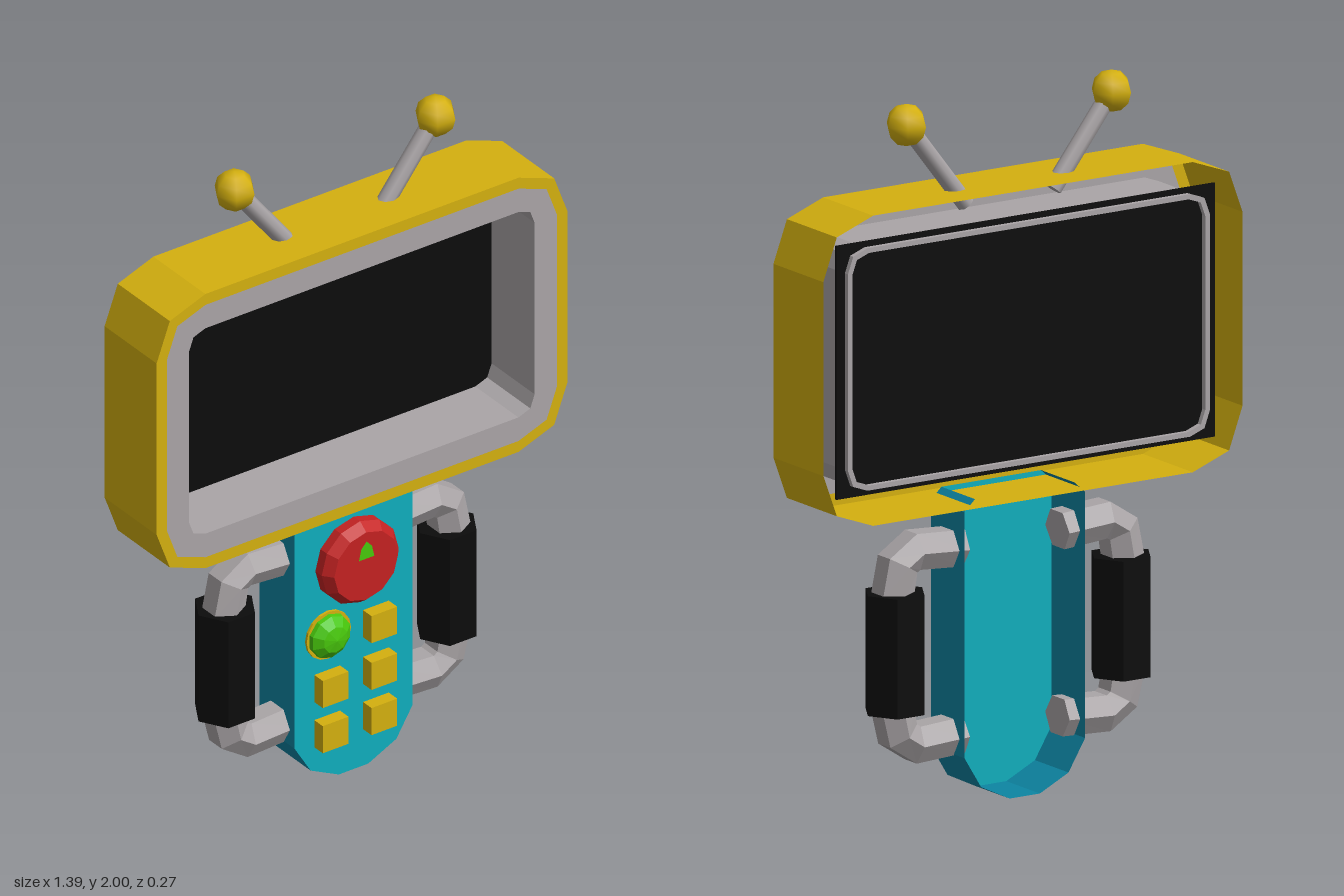
import * as THREE from 'three';

const D = THREE.DoubleSide;
const mat = (name, color, side = THREE.FrontSide) => {
  const m = new THREE.MeshStandardMaterial({ color, side });
  m.name = name;
  return m;
};

// Faceted copy of a geometry
function facet(g) {
  const f = g.index ? g.toNonIndexed() : g;
  f.computeVertexNormals();
  return f;
}

// Counter-clockwise rectangle with two-step rounded corners (w, h are half sizes)
function outline(cy, w, h, c) {
  const m = c * 0.27;
  const corner = [[w, h - c], [w - m, h - m], [w - c, h]];
  const flipped = corner.slice().reverse();
  return [
    ...corner,
    ...flipped.map(([x, y]) => [-x, y]),
    ...corner.map(([x, y]) => [-x, -y]),
    ...flipped.map(([x, y]) => [x, -y]),
  ].map(([x, y]) => new THREE.Vector2(x, y + cy));
}

// Open wall standing along an outline between two depths
function wall(points, z0, z1, closed) {
  const v = [];
  const n = points.length;
  for (let i = 0; i < (closed ? n : n - 1); i++) {
    const a = points[i], b = points[(i + 1) % n];
    v.push(a.x, a.y, z0, b.x, b.y, z0, b.x, b.y, z1);
    v.push(a.x, a.y, z0, b.x, b.y, z1, a.x, a.y, z1);
  }
  const g = new THREE.BufferGeometry();
  g.setAttribute('position', new THREE.Float32BufferAttribute(v, 3));
  g.computeVertexNormals();
  return g;
}

// Flat face at depth z, with an optional hole
function face(points, z, hole) {
  const s = new THREE.Shape(points);
  if (hole) s.holes.push(new THREE.Path(hole));
  return new THREE.ShapeGeometry(s).translate(0, 0, z);
}

// Mitred hexagonal bar along a path in the xy plane, closed at both ends
function bar(path, r, z) {
  const rings = path.map((p, i) => {
    const a = path[Math.max(i - 1, 0)], b = path[Math.min(i + 1, path.length - 1)];
    const d = b.clone().sub(a).normalize();
    return Array.from({ length: 6 }, (_, k) => {
      const t = (k / 6) * Math.PI * 2 + Math.PI / 6;
      return [p.x - d.y * r * Math.cos(t), p.y + d.x * r * Math.cos(t), z + r * Math.sin(t)];
    });
  });
  const cap = (p) => Array.from({ length: 6 }, () => [p.x, p.y, z]);
  rings.unshift(cap(path[0]));
  rings.push(cap(path[path.length - 1]));
  const v = [];
  for (let i = 0; i < rings.length - 1; i++) {
    for (let k = 0; k < 6; k++) {
      const l = (k + 1) % 6;
      const a = rings[i][k], b = rings[i][l], c = rings[i + 1][l], d = rings[i + 1][k];
      v.push(...a, ...b, ...c, ...a, ...c, ...d);
    }
  }
  const g = new THREE.BufferGeometry();
  g.setAttribute('position', new THREE.Float32BufferAttribute(v, 3));
  g.computeVertexNormals();
  return g;
}

// Round button facing forward
const knob = (profile, sides) => facet(
  new THREE.LatheGeometry(profile.map(([x, y]) => new THREE.Vector2(x, y)), sides).rotateX(Math.PI / 2));

export function createModel() {
  const root = new THREE.Group();
  root.name = 'handheldScreen';
  const yellow = mat('yellow', 0xd4b00f, D);
  const grey = mat('grey', 0xaaa5a7, D);
  const black = mat('black', 0x0c0c0c, D);
  const teal = mat('teal', 0x10aebd, D);
  const blue = mat('deepTeal', 0x0d85a3, D);
  const red = mat('red', 0xc42222);
  const green = mat('green', 0x48c80c);
  const add = (name, geo, m, x = 0, y = 0, z = 0) => {
    const mesh = new THREE.Mesh(geo, m);
    mesh.name = name;
    mesh.position.set(x, y, z);
    root.add(mesh);
    return mesh;
  };

  // Open-backed screen case
  const cy = 1.295;
  const caseLine = outline(cy, 0.695, 0.44, 0.165);
  const bezelLine = outline(cy, 0.66, 0.405, 0.13);
  const opening = outline(cy, 0.585, 0.33, 0.055);
  add('caseWall', wall(caseLine, -0.13, 0.115, true), yellow);
  add('caseRim', face(caseLine, 0.115, bezelLine), yellow);

  // Grey bezel with a deep tunnel down to the screen
  add('bezel', face(bezelLine, 0.115, opening), grey);
  const ring = new THREE.Shape(outline(cy, 0.6, 0.344, 0.065));
  ring.holes.push(new THREE.Path(opening));
  add('screenTunnel', new THREE.ExtrudeGeometry(ring, { depth: 0.224, bevelEnabled: false }), grey, 0, 0, -0.11);
  add('screen', new THREE.BoxGeometry(1.256, 0.72, 0.006), black, 0, cy, -0.092);

  // Open-backed control body
  const half = [[0.05, 0.004], [0.145, 0.05], [0.2, 0.14], [0.2, 0.838], [0.165, 0.87]];
  const bodyLine = [
    ...half.slice().reverse().map(([x, y]) => new THREE.Vector2(-x, y)),
    ...half.map(([x, y]) => new THREE.Vector2(x, y)),
  ];
  add('bodyWall', wall(bodyLine, -0.09, 0.075, false), blue);
  add('bodyFront', face(bodyLine, 0.075), teal);

  // Large red button with a small green marker
  add('redButton', knob([[0.13, 0], [0.13, 0.03], [0.108, 0.059], [0, 0.059]], 12), red, 0, 0.685, 0.076);
  const marker = [[-0.026, 0.71], [0.026, 0.71], [0.018, 0.745], [0, 0.765], [-0.018, 0.745]]
    .map(([x, y]) => new THREE.Vector2(x, y));
  add('marker', face(marker, 0.137), green);

  // Green dome in a thin ring
  add('domeRing', knob([[0.075, 0], [0.075, 0.008], [0, 0.008]], 16), yellow, -0.09, 0.47, 0.076);
  add('greenDome', knob([[0.069, 0], [0.066, 0.02], [0.04, 0.04], [0, 0.048]], 10), green, -0.09, 0.47, 0.077);

  // Square keys
  for (const [x, y] of [[0.075, 0.46], [-0.09, 0.31], [0.075, 0.31], [-0.09, 0.165], [0.075, 0.165]])
    add('key', new THREE.BoxGeometry(0.087, 0.087, 0.04), yellow, x, y, 0.096);

  for (const s of [-1, 1]) {
    // Side handle and its grip
    const path = [[0.165, 0.72], [0.315, 0.73], [0.365, 0.698], [0.382, 0.61],
      [0.382, 0.29], [0.365, 0.215], [0.315, 0.182], [0.165, 0.19]]
      .map(([x, y]) => new THREE.Vector2(s * x, y));
    add('handle', bar(path, 0.06, -0.006), grey);
    const grip = new THREE.CylinderGeometry(0.09, 0.09, 0.34, 6).rotateY(Math.PI / 6);
    add('grip', facet(grip), black, s * 0.375, 0.45, -0.008);

    // Antenna rod and ball
    const from = new THREE.Vector3(s * 0.145, 1.69, -0.012), to = new THREE.Vector3(s * 0.34, 1.94, -0.012);
    const dir = to.clone().sub(from);
    const rod = add('antennaRod', new THREE.CylinderGeometry(0.026, 0.026, dir.length(), 8), grey);
    rod.position.copy(from).addScaledVector(dir, 0.5);
    rod.quaternion.setFromUnitVectors(new THREE.Vector3(0, 1, 0), dir.normalize());
    add('antennaBall', new THREE.SphereGeometry(0.06, 6, 6), yellow, s * 0.34, 1.94, -0.012);
  }
  return root;
}
